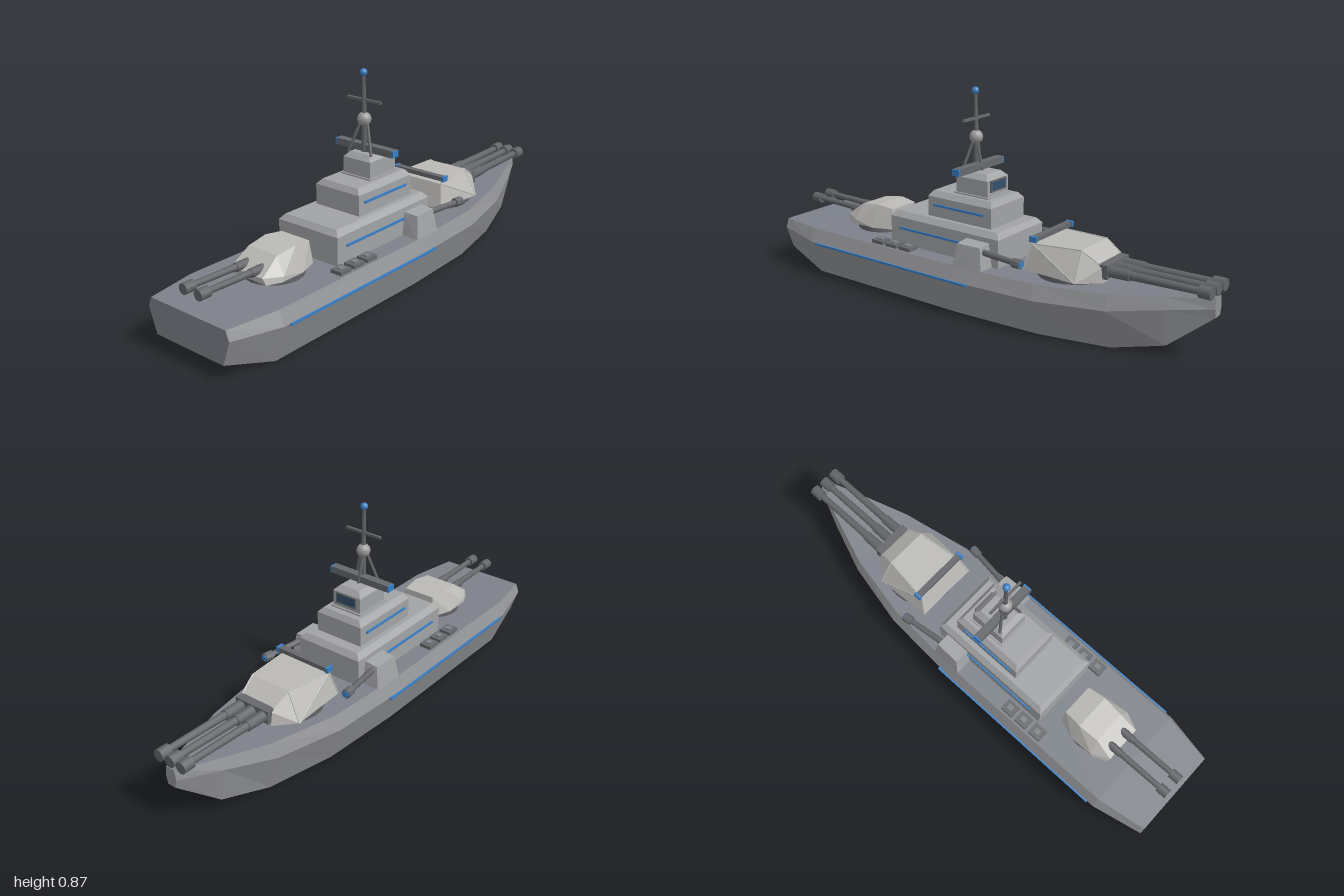
import * as THREE from 'three';
import { ConvexGeometry } from 'three/addons/geometries/ConvexGeometry.js';

const V = (x, y, z) => new THREE.Vector3(x, y, z);
const paint = (color, flatShading = true) => new THREE.MeshStandardMaterial({ color, flatShading });

export function createModel() {
  const root = new THREE.Group();
  const hullGrey = paint(0x909194);
  const deckGrey = paint(0x7d8189);
  const houseGrey = paint(0xa2a3a5);
  const turretGrey = paint(0xbab9b6);
  const dark = paint(0x66686c);
  const gunMetal = paint(0x626468, false);
  const domeGrey = paint(0x9a9a9a, false);
  const blue = paint(0x3a7fc4);
  const glass = paint(0x34506a);

  const add = (name, geo, mat, parent = root) => {
    const m = new THREE.Mesh(geo, mat);
    m.name = name;
    parent.add(m);
    return m;
  };
  const box = (name, w, h, d, x, y, z, mat, parent = root) => {
    add(name, new THREE.BoxGeometry(w, h, d), mat, parent).position.set(x, y, z);
  };
  // Cylinder from point a to point b
  const rod = (name, a, b, ra, rb = ra, mat = gunMetal, parent = root, sides = 12) => {
    const d = b.clone().sub(a);
    const m = add(name, new THREE.CylinderGeometry(rb, ra, d.length(), sides), mat, parent);
    m.position.copy(a).addScaledVector(d, 0.5);
    m.quaternion.setFromUnitVectors(V(0, 1, 0), d.normalize());
  };
  const ball = (name, r, x, y, z, mat) => {
    add(name, new THREE.SphereGeometry(r, 16, 12), mat).position.set(x, y, z);
  };
  // Convex solid mirrored in x from one half of its corners
  const mirrored = (name, pts, mat, parent = root) =>
    add(name, new ConvexGeometry(pts.flatMap(([x, y, z]) => [V(x, y, z), V(-x, y, z)])), mat, parent);

  // Hull stations: z, keel y, keel half, side y, side half, deck y, deck half
  const stations = [
    [1, 0.065, 0.17, 0.165, 0.205, 0.203, 0.19],
    [0.79, 0, 0.2, 0.15, 0.25, 0.205, 0.225],
    [0, 0, 0.2, 0.15, 0.25, 0.205, 0.225],
    [-0.36, 0, 0.18, 0.15, 0.23, 0.207, 0.205],
    [-0.64, 0, 0.12, 0.16, 0.17, 0.218, 0.15],
    [-0.84, 0.045, 0.07, 0.19, 0.095, 0.234, 0.08],
    [-1, 0.175, 0.018, 0.21, 0.026, 0.25, 0.02],
  ];
  const pos = [], sides = [], plates = [], N = 6, last = (stations.length - 1) * N;
  for (const [z, yb, wb, ym, wm, yd, wd] of stations)
    pos.push(-wb, yb, z, wb, yb, z, wm, ym, z, wd, yd, z, -wd, yd, z, -wm, ym, z);
  for (let s = 0; s < stations.length - 1; s++)
    for (let j = 0; j < N; j++) {
      const a = s * N + j, b = s * N + (j + 1) % N;
      (j % 3 === 0 ? plates : sides).push(a, a + N, b, b, a + N, b + N);
    }
  for (let j = 1; j < N - 1; j++) {
    plates.push(0, j, j + 1);
    sides.push(last, last + j + 1, last + j);
  }
  for (const [name, index, mat] of [['hullSides', sides, hullGrey], ['deckKeelAndTransom', plates, deckGrey]]) {
    const geo = new THREE.BufferGeometry();
    geo.setAttribute('position', new THREE.Float32BufferAttribute(pos, 3));
    geo.setIndex(index);
    const flat = geo.toNonIndexed();
    flat.computeVertexNormals();
    add(name, flat, mat);
  }

  // Superstructure tiers with bevelled tops
  const tier = (name, w, y0, y1, z0, z1, bx, bz, by) => {
    const pts = [];
    for (const z of [z0, z1]) pts.push([w, y0, z], [w, y1 - by, z]);
    for (const z of [z0 + bz, z1 - bz]) pts.push([w - bx, y1, z]);
    mirrored(name, pts, houseGrey);
  };
  tier('lowerDeckhouse', 0.15, 0.2, 0.342, -0.15, 0.405, 0.02, 0.018, 0.022);
  tier('middleDeckhouse', 0.11, 0.34, 0.447, -0.085, 0.235, 0.02, 0.015, 0.022);
  tier('bridge', 0.068, 0.445, 0.54, -0.035, 0.12, 0.022, 0.02, 0.022);
  box('bridgeSill', 0.15, 0.008, 0.17, 0, 0.449, 0.042, houseGrey);

  // Bridge window in a thin frame
  box('bridgeWindow', 0.09, 0.038, 0.008, 0, 0.493, -0.036, glass);
  for (const s of [-1, 1]) {
    box('windowFrameBar', 0.1, 0.005, 0.012, 0, 0.493 + s * 0.021, -0.036, dark);
    box('windowFramePost', 0.005, 0.046, 0.012, s * 0.047, 0.493, -0.036, dark);
  }

  // Light strips, hatches and side guns on both sides
  for (const s of [-1, 1]) {
    box('hullStrip', 0.012, 0.009, 0.83, s * 0.25, 0.147, 0.345, blue);
    box('lowerStrip', 0.01, 0.009, 0.46, s * 0.151, 0.275, 0.125, blue);
    box('middleStrip', 0.01, 0.009, 0.255, s * 0.111, 0.392, 0.078, blue);

    for (const z of [0.282, 0.355, 0.43]) {
      box('hatch', 0.052, 0.018, 0.058, s * 0.188, 0.211, z, dark);
      box('hatchLid', 0.022, 0.006, 0.025, s * 0.188, 0.222, z, deckGrey);
    }

    const gun = new THREE.Group();
    gun.name = 'sideGun';
    root.add(gun);
    const house = [];
    for (const [x, y, z] of [
      [0.14, 0.2, 0.018], [0.226, 0.2, 0.018], [0.14, 0.2, -0.12], [0.222, 0.2, -0.12],
      [0.14, 0.302, 0.005], [0.212, 0.296, 0.002], [0.14, 0.302, -0.105], [0.208, 0.296, -0.105],
    ]) house.push(V(s * x, y, z));
    add('sideGunHouse', new ConvexGeometry(house), houseGrey, gun);
    rod('sideGunBarrel', V(s * 0.182, 0.273, -0.09), V(s * 0.208, 0.273, -0.29), 0.013, 0.011, gunMetal, gun);
    rod('sideGunMuzzle', V(s * 0.204, 0.273, -0.262), V(s * 0.209, 0.273, -0.3), 0.019, 0.019, dark, gun, 8);
    rod('sideGunMuzzleLight', V(s * 0.209, 0.273, -0.299), V(s * 0.2095, 0.273, -0.304), 0.013, 0.013, blue, gun);
  }

  // Twin-gun turret at the stern
  const stern = new THREE.Group();
  stern.name = 'sternTurret';
  root.add(stern);
  rod('sternTurretRing', V(0, 0.2, 0.585), V(0, 0.226, 0.585), 0.115, 0.115, gunMetal, stern, 24);
  mirrored('sternTurretHouse', [
    [0.085, 0.226, 0.468], [0.115, 0.226, 0.55], [0.115, 0.226, 0.66], [0.09, 0.226, 0.715],
    [0.115, 0.245, 0.65], [0.08, 0.252, 0.722],
    [0.07, 0.313, 0.472], [0.078, 0.322, 0.55], [0.072, 0.31, 0.64],
  ], turretGrey, stern);
  for (const x of [-0.038, 0.038]) {
    rod('sternGunSleeve', V(x, 0.266, 0.64), V(x, 0.267, 0.74), 0.018, 0.017, gunMetal, stern);
    rod('sternGunBarrel', V(x, 0.267, 0.66), V(x, 0.273, 0.94), 0.014, 0.012, gunMetal, stern);
    rod('sternGunMuzzle', V(x, 0.273, 0.934), V(x, 0.273, 0.98), 0.021, 0.021, gunMetal, stern);
  }

  // Triple-gun turret at the bow
  const bow = new THREE.Group();
  bow.name = 'bowTurret';
  root.add(bow);
  rod('bowTurretRing', V(0, 0.2, -0.41), V(0, 0.226, -0.41), 0.15, 0.15, gunMetal, bow, 24);
  mirrored('bowTurretHouse', [
    [0.137, 0.225, -0.258], [0.15, 0.225, -0.5], [0.08, 0.225, -0.578], [0.075, 0.285, -0.576],
    [0.115, 0.328, -0.285], [0.09, 0.337, -0.49],
  ], turretGrey, bow);
  for (const s of [-1, 1]) {
    const roofBack = V(s * 0.115, 0.328, -0.285), roofFront = V(s * 0.09, 0.337, -0.49);
    const baseBack = V(s * 0.137, 0.225, -0.258), baseFront = V(s * 0.15, 0.225, -0.5);
    for (const [a, b] of [[roofBack, roofFront], [roofBack, baseBack], [roofFront, baseFront],
      [roofBack, baseFront], [roofFront, V(s * 0.075, 0.285, -0.576)]])
      rod('armourRib', a, b, 0.003, 0.003, turretGrey, bow, 6);
    box('rangefinderEnd', 0.012, 0.022, 0.032, s * 0.125, 0.35, -0.297, blue, bow);
  }
  box('turretRangefinder', 0.24, 0.018, 0.026, 0, 0.35, -0.297, dark, bow);
  box('gunMantlet', 0.16, 0.055, 0.04, 0, 0.268, -0.575, dark, bow);
  for (const x of [-0.055, 0, 0.055]) {
    rod('bowGunSleeve', V(x, 0.268, -0.56), V(x, 0.27, -0.68), 0.023, 0.021, gunMetal, bow);
    rod('bowGunBarrel', V(x, 0.27, -0.66), V(x, 0.277, -0.96), 0.017, 0.014, gunMetal, bow);
    rod('bowGunMuzzle', V(x, 0.277, -0.952), V(x, 0.277, -1), 0.024, 0.024, gunMetal, bow);
  }

  // Mast with tripod legs, yard, radar dome and rangefinder
  const mz = 0.072;
  rod('mastLower', V(0, 0.53, mz), V(0, 0.7, mz), 0.011, 0.01);
  rod('mastUpper', V(0, 0.69, mz), V(0, 0.855, mz + 0.003), 0.009, 0.007);
  ball('radarDome', 0.028, 0, 0.673, mz, domeGrey);
  ball('mastLight', 0.015, 0, 0.859, mz + 0.003, blue);
  box('mastYard', 0.168, 0.01, 0.01, 0, 0.749, mz, dark);
  for (const s of [-1, 1]) {
    rod('mastLeg', V(s * 0.058, 0.535, 0.1), V(s * 0.014, 0.67, mz), 0.006);
    box('mainRangefinderEnd', 0.008, 0.026, 0.036, s * 0.143, 0.555, 0.06, blue);
  }
  rod('mastLeg', V(0, 0.535, 0.04), V(0, 0.67, mz), 0.006);
  box('mainRangefinder', 0.28, 0.028, 0.034, 0, 0.555, 0.06, dark);

  return root;
}
